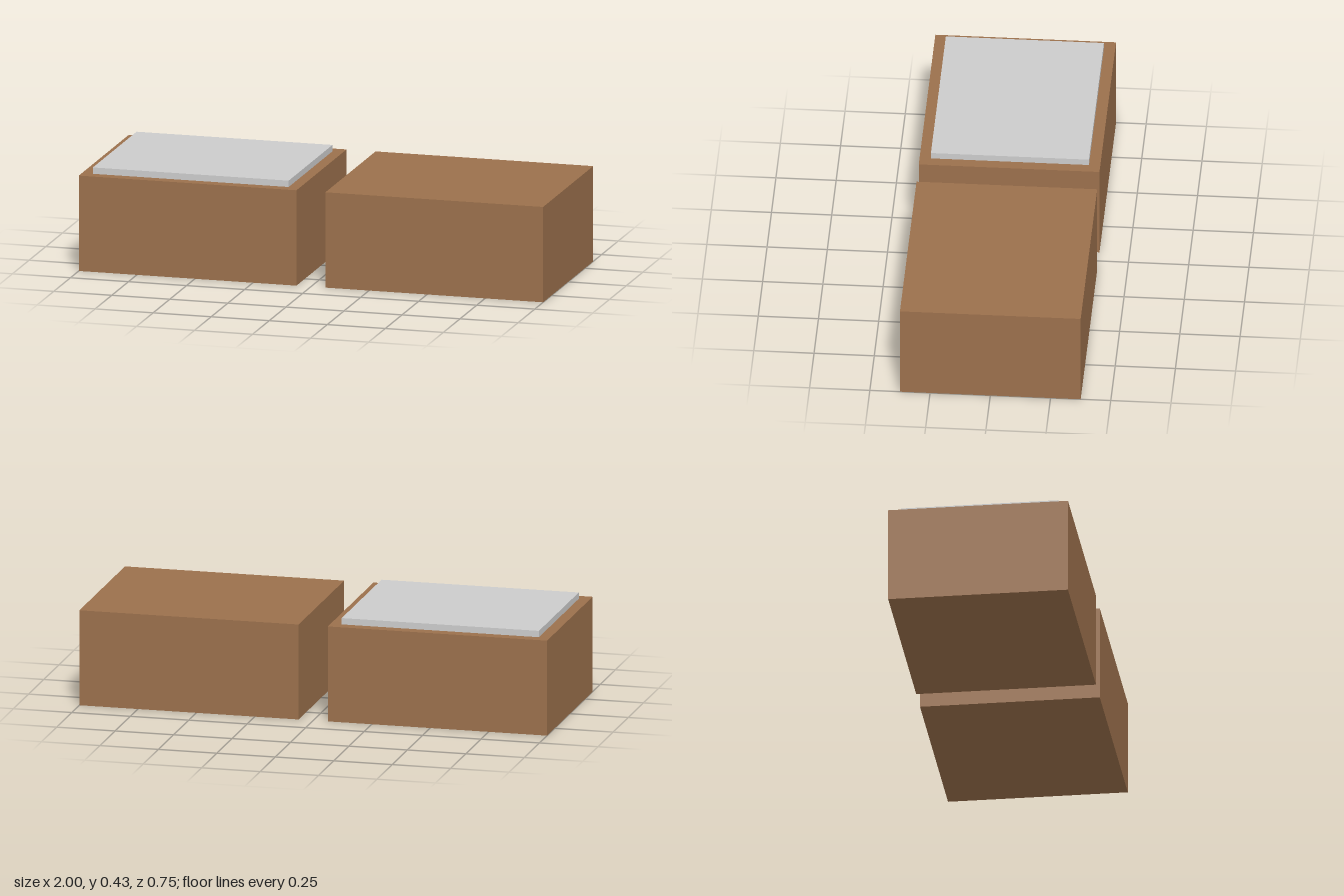
import * as THREE from 'three';

const WIDTH = 0.9375, DEPTH = 0.75, HEIGHT = 0.406;
const CENTRE_X = 0.53125, MARGIN = 0.047, LID_HEIGHT = 0.027;

// Box standing on height y
function block(name, w, h, d, x, y, material) {
  const mesh = new THREE.Mesh(new THREE.BoxGeometry(w, h, d), material);
  mesh.name = name;
  mesh.position.set(x, y + h / 2, 0);
  return mesh;
}

export function createModel() {
  const group = new THREE.Group();
  group.name = 'blockPair';
  const brown = new THREE.MeshStandardMaterial({ color: 0x9b704c });
  const grey = new THREE.MeshStandardMaterial({ color: 0xcccccc });

  // Two matching brown blocks with a gap between them
  for (const [name, side] of [['rightBlock', -1], ['leftBlock', 1]]) {
    group.add(block(name, WIDTH, HEIGHT, DEPTH, side * CENTRE_X, 0, brown));
  }

  // Thin inset slab on top of the right block
  group.add(block('topSlab', WIDTH - 2 * MARGIN, LID_HEIGHT, DEPTH - 2 * MARGIN, -CENTRE_X, HEIGHT, grey));
  return group;
}
